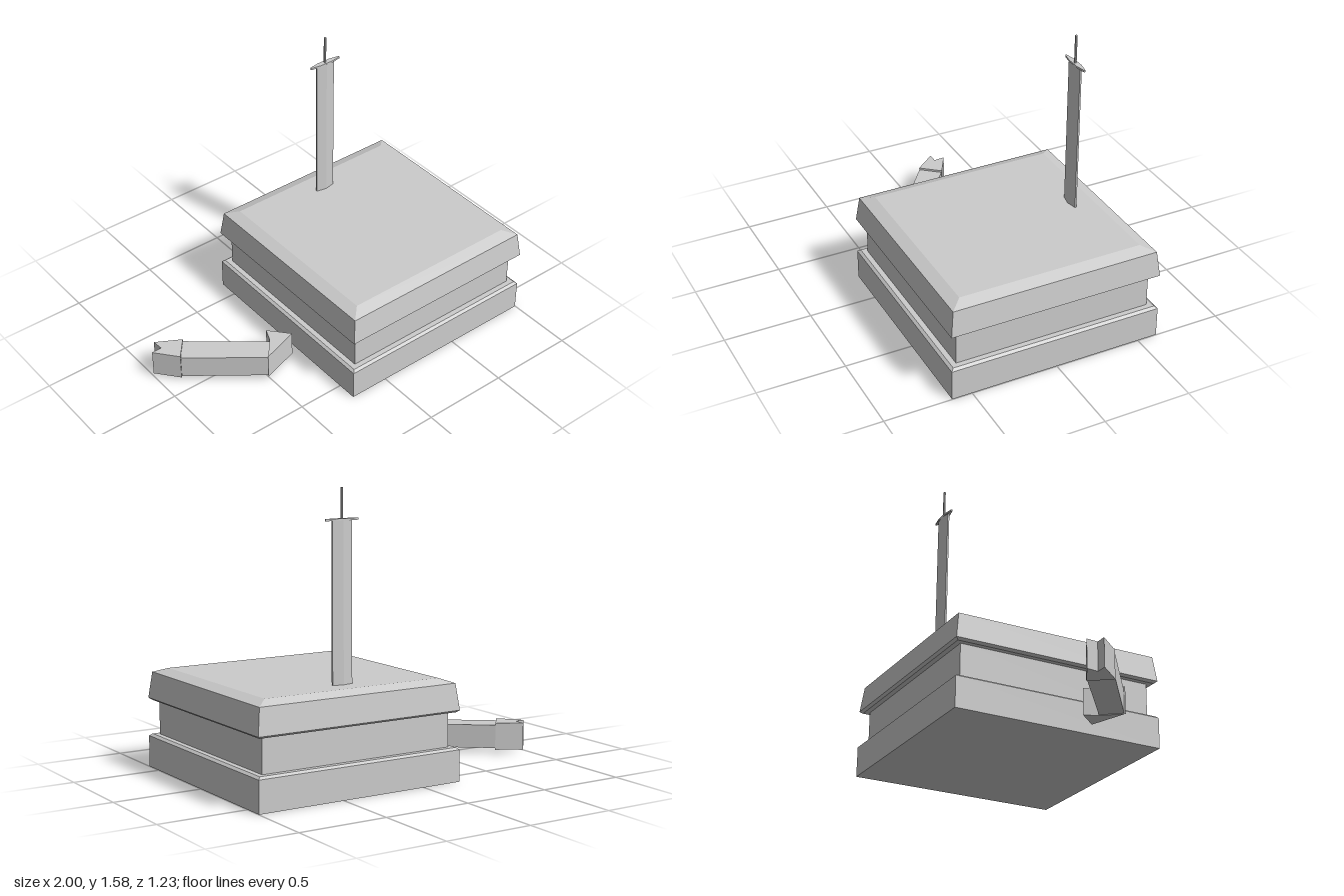
import * as THREE from 'three';

const material = new THREE.MeshStandardMaterial({ color: 0xcccccc, flatShading: true });

function addMesh(parent, name, geometry) {
  const mesh = new THREE.Mesh(geometry, material);
  mesh.name = name;
  parent.add(mesh);
  return mesh;
}

// Square block from a profile of [half width, y] points, bottom to top
function squareBlock(profile) {
  const points = profile.map(([half, y]) => new THREE.Vector2(half * Math.SQRT2, y));
  return new THREE.LatheGeometry(points, 4, Math.PI / 4);
}

// Upright prism over an outline of [x, z] points
function prism(outline, bottom, top) {
  const shape = new THREE.Shape(outline.map(([x, z]) => new THREE.Vector2(x, -z)));
  const geometry = new THREE.ExtrudeGeometry(shape, { depth: top - bottom, bevelEnabled: false });
  return geometry.rotateX(-Math.PI / 2).translate(0, bottom, 0);
}

export function createModel() {
  const model = new THREE.Group();
  model.name = 'swordInPedestal';

  // Stepped square pedestal
  const pedestal = new THREE.Group();
  pedestal.name = 'pedestal';
  pedestal.position.x = 0.383;
  model.add(pedestal);
  addMesh(pedestal, 'plinth', squareBlock([[0, 0], [0.615, 0], [0.615, 0.175], [0.6, 0.187], [0, 0.187]]));
  addMesh(pedestal, 'waist', squareBlock([[0.57, 0.18], [0.57, 0.385]]));
  addMesh(pedestal, 'capstone', squareBlock([
    [0, 0.378], [0.6, 0.378], [0.615, 0.39], [0.597, 0.535], [0.53, 0.56], [0, 0.56],
  ]));

  // Sword standing in the capstone
  const sword = new THREE.Group();
  sword.name = 'sword';
  sword.position.set(0.381, 0, -0.411);
  model.add(sword);
  addMesh(sword, 'blade', prism([
    [-0.06, -0.005], [0, -0.017], [0.06, -0.005], [0.06, 0.005], [0, 0.017], [-0.06, 0.005],
  ], 0.54, 1.418));
  addMesh(sword, 'crossguard', prism([
    [-0.1, -0.004], [-0.04, -0.015], [0.04, -0.015], [0.1, -0.004],
    [0.1, 0.004], [0.04, 0.015], [-0.04, 0.015], [-0.1, 0.004],
  ], 1.413, 1.424));
  addMesh(sword, 'grip', new THREE.CylinderGeometry(0.007, 0.007, 0.165, 8).translate(0, 1.5, 0));

  // Arrow block lying beside the pedestal
  const arrow = new THREE.Group();
  arrow.name = 'arrow';
  model.add(arrow);
  addMesh(arrow, 'arrowTail', prism([
    [-0.945, -0.27], [-0.805, -0.19], [-0.897, -0.08], [-1, -0.205], [-0.94, -0.205],
  ], 0.022, 0.178));
  addMesh(arrow, 'arrowShaft', prism([
    [-0.81, -0.19], [-0.425, 0.115], [-0.51, 0.215], [-0.895, -0.08],
  ], 0.032, 0.166));
  addMesh(arrow, 'arrowHead', prism([
    [-0.395, 0.038], [-0.297, 0.15], [-0.517, 0.22], [-0.427, 0.115],
  ], 0.028, 0.178));

  return model;
}
